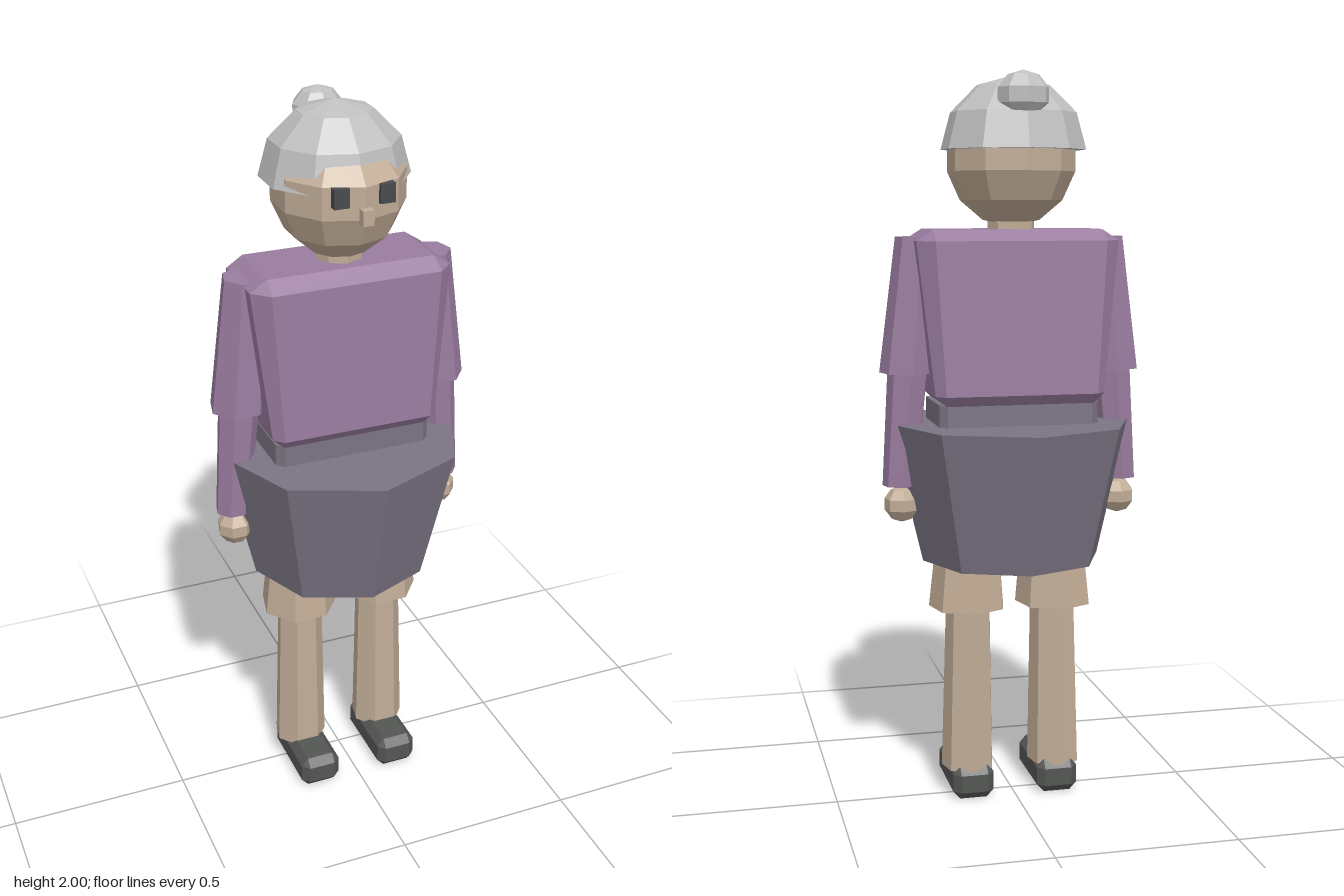
import * as THREE from 'three';
import { ConvexGeometry } from 'three/addons/geometries/ConvexGeometry.js';

function paint(name, color) {
  const m = new THREE.MeshStandardMaterial({ color });
  m.name = name;
  m.flatShading = true;
  return m;
}

// Bevelled block from stacked outlines: [y, half width, half depth, corner cut]
function block(rings) {
  const points = [];
  for (const [y, hx, hz, cut] of rings) {
    for (const sx of [-1, 1]) for (const sz of [-1, 1]) {
      points.push(new THREE.Vector3(sx * (hx - cut), y, sz * hz));
      if (cut > 0) points.push(new THREE.Vector3(sx * hx, y, sz * (hz - cut)));
    }
  }
  return new ConvexGeometry(points);
}

// Seven-sided tapered limb with level ends, leaning from (x0, y0) up to (x1, y1)
function limb(x0, y0, r0, x1, y1, r1) {
  const geo = new THREE.CylinderGeometry(r1, r0, y1 - y0, 7);
  geo.rotateY(Math.PI);
  const p = geo.attributes.position;
  for (let i = 0; i < p.count; i++) {
    const t = p.getY(i) / (y1 - y0) + 0.5;
    p.setX(i, p.getX(i) + x0 + (x1 - x0) * t);
  }
  return geo.translate(0, (y0 + y1) / 2, 0);
}

export function createModel() {
  const skin = paint('skin', 0xc2ad97);
  const purple = paint('purple cloth', 0x9a7da0);
  const grey = paint('grey skirt cloth', 0x7b7484);
  const silver = paint('silver hair', 0xbfbfbf);
  const dark = paint('dark shoe leather', 0x545654);
  const black = paint('eye grey', 0x484a4e);

  const model = new THREE.Group();
  model.name = 'figure';
  const add = (name, geo, mat, x = 0, y = 0, z = 0) => {
    const mesh = new THREE.Mesh(geo, mat);
    mesh.name = name;
    mesh.position.set(x, y, z);
    model.add(mesh);
    return mesh;
  };

  // Head: faceted ball with a vertex line facing front, crown drawn in under the hair
  const head = new THREE.SphereGeometry(1, 10, 7).rotateY(Math.PI / 2);
  head.rotateY(Math.PI);
  head.rotateY(Math.PI);
  const hp = head.attributes.position;
  for (let i = 0; i < hp.count; i++) {
    const k = hp.getY(i) > 0.5 ? 0.8 : 1;
    hp.setXYZ(i, hp.getX(i) * 0.178 * k, hp.getY(i) * 0.19, hp.getZ(i) * 0.185 * k);
  }
  add('head', head, skin, 0, 1.785, 0);
  add('neck', new THREE.CylinderGeometry(0.065, 0.065, 0.12, 8), skin, 0, 1.62, 0);
  add('nose', new THREE.BoxGeometry(0.03, 0.04, 0.05), skin, 0, 1.754, 0.175);

  // Hair: half ball with a flat underside, and a bun behind
  const hair = new THREE.SphereGeometry(1, 10, 3, 0, Math.PI * 2, 0, Math.PI / 2);
  hair.rotateY(Math.PI / 2).scale(0.197, 0.195, 0.187);
  add('hair', hair, silver, 0, 1.8, -0.026);
  const rim = new THREE.CircleGeometry(1, 10).rotateX(Math.PI / 2);
  rim.rotateY(Math.PI / 2).scale(0.197, 1, 0.187);
  add('hairUnderside', rim, silver, 0, 1.8, -0.026);
  const bun = new THREE.SphereGeometry(1, 8, 5).scale(0.072, 0.065, 0.065);
  add('hairBun', bun, silver, 0, 1.935, -0.143);

  // Body
  add('torso', block([
    [1.12, 0.2, 0.12, 0],
    [1.15, 0.233, 0.145, 0.025],
    [1.56, 0.277, 0.138, 0.044],
    [1.59, 0.23, 0.095, 0],
  ]), purple);
  add('waist', block([
    [1.0, 0.22, 0.122, 0.02],
    [1.125, 0.22, 0.122, 0.02],
  ]), grey);
  add('skirt', new THREE.CylinderGeometry(0.34, 0.25, 0.385, 8), grey, 0, 0.8725, 0);

  // Paired parts
  for (const [side, s] of [['left', 1], ['right', -1]]) {
    add(side + 'Eye', new THREE.BoxGeometry(0.041, 0.05, 0.03), black, s * 0.061, 1.803, 0.161);
    add(side + 'UpperArm', limb(s * 0.285, 1.205, 0.08, s * 0.255, 1.57, 0.063), purple);
    add(side + 'Forearm', limb(s * 0.312, 0.895, 0.048, s * 0.285, 1.23, 0.057), purple);
    const hand = new THREE.SphereGeometry(0.05, 7, 5).rotateY(-Math.PI / 2);
    add(side + 'Hand', hand, skin, s * 0.308, 0.843, 0);
    add(side + 'Thigh', limb(s * 0.124, 0.545, 0.109, s * 0.121, 0.76, 0.088), skin);
    add(side + 'Shin', limb(s * 0.125, 0.08, 0.075, s * 0.121, 0.6, 0.063), skin);
    add(side + 'Shoe', block([
      [0, 0.038, 0.106, 0],
      [0.022, 0.058, 0.126, 0.02],
      [0.072, 0.058, 0.126, 0.02],
      [0.095, 0.038, 0.106, 0],
    ]), dark, s * 0.121, 0, 0.05);
  }
  return model;
}
